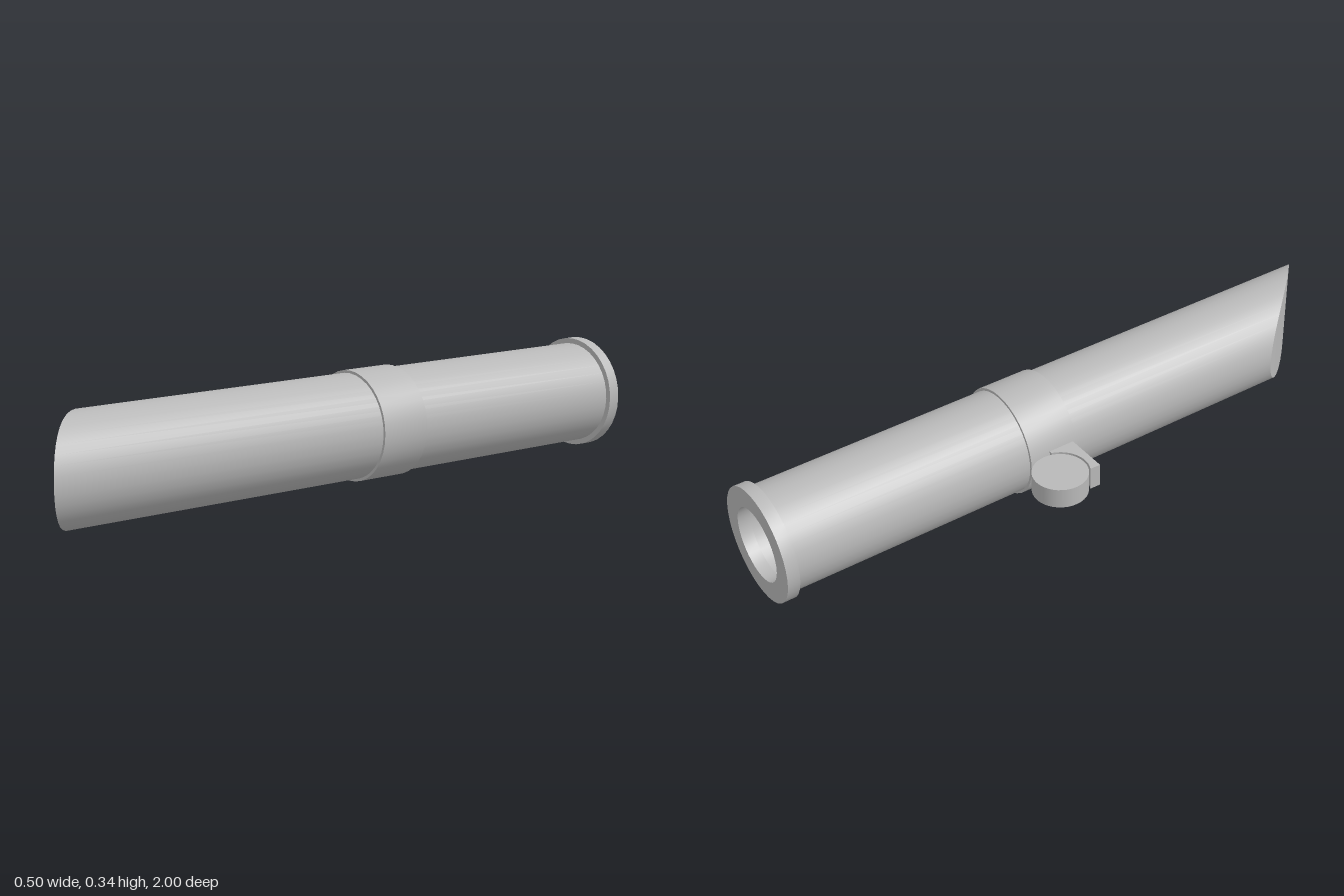
import * as THREE from 'three';
import { toCreasedNormals } from 'three/addons/utils/BufferGeometryUtils.js';

const SIDES = 36;
const RADIUS = 0.155;
const AXIS_X = 0.079, AXIS_Y = 0.172;

// Slanted, slightly bulging front cut: z for a given offset from the axis
function cutZ(x) {
  const t = (x + RADIUS) / (2 * RADIUS);
  return 0.674 + 0.326 * t + 0.09 * t * (1 - t);
}

export function createModel() {
  const model = new THREE.Group();
  const grey = new THREE.MeshStandardMaterial({ color: 0xb8b8b8 });

  function add(name, geometry, parent) {
    const mesh = new THREE.Mesh(geometry, grey);
    mesh.name = name;
    parent.add(mesh);
    return mesh;
  }

  // Turned part along z, from [radius, z] pairs
  function turned(pairs) {
    const g = new THREE.LatheGeometry(pairs.map(([r, z]) => new THREE.Vector2(r, z)), SIDES);
    g.rotateX(Math.PI / 2);
    return toCreasedNormals(g, 0.6);
  }

  const pipe = new THREE.Group();
  pipe.name = 'pipe';
  pipe.position.set(AXIS_X, AXIS_Y, 0);
  model.add(pipe);

  // Outer wall, with its front ring moved onto the slanted cut
  const wall = new THREE.CylinderGeometry(RADIUS, RADIUS, 2, SIDES, 1, true);
  wall.rotateX(Math.PI / 2);
  const wp = wall.attributes.position;
  for (let i = 0; i < wp.count; i++) {
    wp.setZ(i, wp.getZ(i) > 0 ? cutZ(wp.getX(i)) : -0.98);
  }
  add('tubeWall', wall, pipe);

  // Face closing the slanted cut, made of upright strips
  const face = new THREE.PlaneGeometry(1, 1, SIDES / 2, 1);
  const fp = face.attributes.position;
  for (let i = 0; i < fp.count; i++) {
    const a = (fp.getX(i) + 0.5) * Math.PI;
    const x = -RADIUS * Math.cos(a);
    fp.setXYZ(i, x, Math.sign(fp.getY(i)) * RADIUS * Math.sin(a), cutZ(x));
  }
  face.computeVertexNormals();
  add('slantedFace', face, pipe);

  // Middle band, rear rim and hollow bore
  add('band', turned([[0.15, -0.217], [0.163, -0.217], [0.163, -0.06], [0.15, -0.06]]), pipe);
  add('rearRim', turned([[0.11, -0.963], [0.11, -1], [0.171, -1], [0.171, -0.963], [0.15, -0.963]]), pipe);
  add('bore', turned([[0, 0.6], [0.12, 0.6], [0.12, -0.963], [0.11, -0.963]]), pipe);

  // Side bracket with a round recess holding the disc
  const cx = -0.17, cz = -0.179;
  const outline = new THREE.Shape();
  outline.moveTo(-0.212, 0.072);
  outline.lineTo(-0.065, 0.072);
  outline.lineTo(-0.065, 0.153);
  outline.absarc(cx, -cz, 0.085, -0.311, -2.074, true);
  outline.closePath();
  const bracket = new THREE.ExtrudeGeometry(outline, { depth: 0.072, bevelEnabled: false, curveSegments: 12 });
  bracket.rotateX(-Math.PI / 2);
  add('sideBracket', toCreasedNormals(bracket, 0.5), model).position.y = 0.134;

  const disc = new THREE.CylinderGeometry(0.081, 0.081, 0.062, SIDES);
  add('sideDisc', disc, model).position.set(cx, 0.172, cz);

  return model;
}
